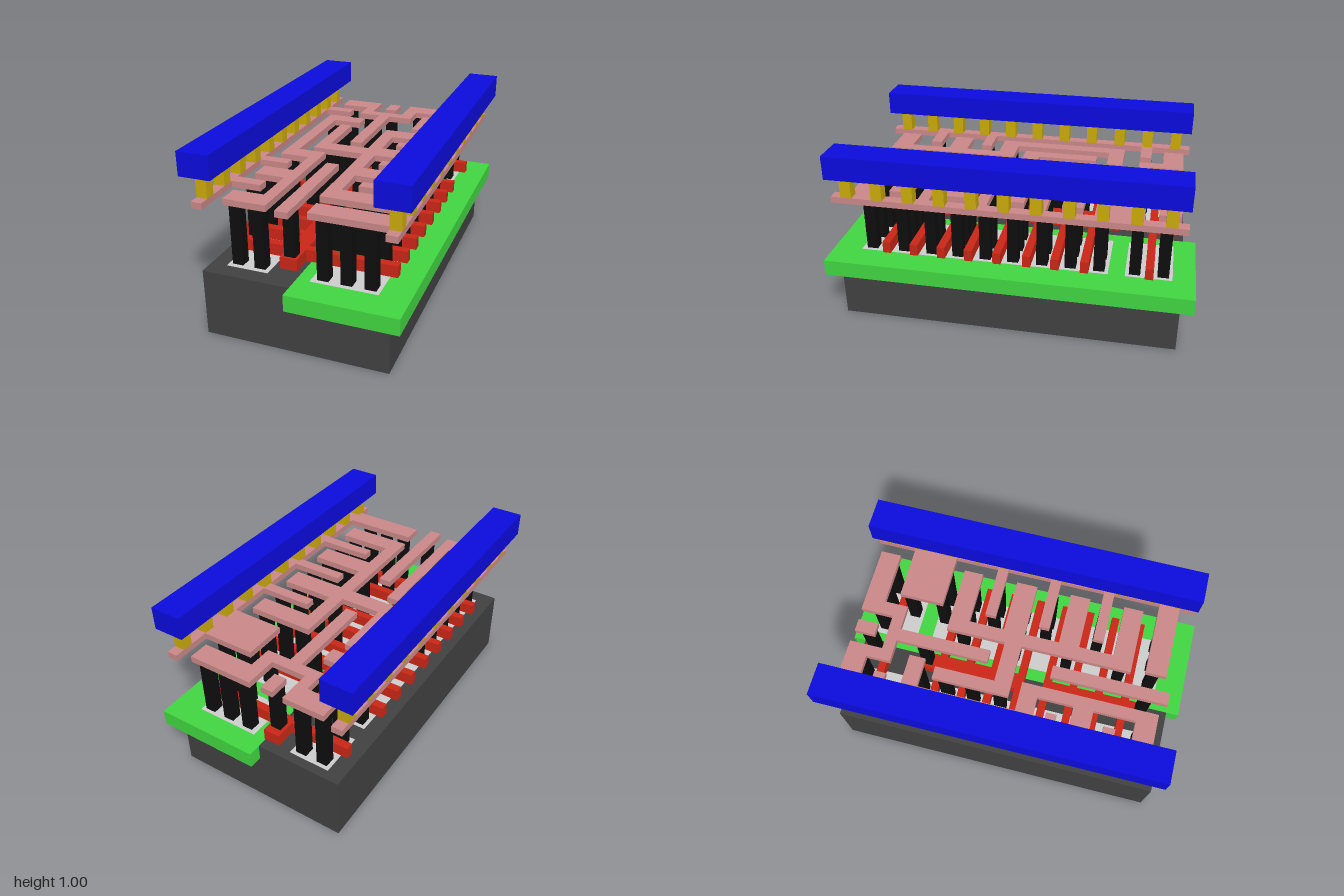
import * as THREE from 'three';

const mat = (color) => new THREE.MeshStandardMaterial({ color, flatShading: true });
const MAT = {
  base: mat(0x404040), well: mat(0x40d440), diffusion: mat(0xcccccc), gate: mat(0xc82616),
  contact: mat(0x0d0d0d), metal: mat(0xc88686), via: mat(0xc8a80c), rail: mat(0x0b0bdc),
};

// Height range of each layer
const GATE = [0.395, 0.46], METAL = [0.715, 0.75], VIA = [0.75, 0.875], RAIL = [0.875, 1.005];
const TOP = 0.37;

export function createModel() {
  const model = new THREE.Group();

  const layer = (name) => {
    const g = new THREE.Group();
    g.name = name;
    model.add(g);
    return g;
  };
  // Box given by its x, y and z ranges
  const slab = (parent, name, material, [x0, x1], [y0, y1], [z0, z1]) => {
    const m = new THREE.Mesh(new THREE.BoxGeometry(x1 - x0, y1 - y0, z1 - z0), material);
    m.position.set((x0 + x1) / 2, (y0 + y1) / 2, (z0 + z1) / 2);
    m.name = name;
    parent.add(m);
  };
  // Square post centred on x, z
  const post = (parent, name, material, x, z, [y0, y1]) =>
    slab(parent, name, material, [x - 0.03, x + 0.03], [y0, y1], [z - 0.03, z + 0.03]);

  // Substrate block and the well set into it
  slab(model, 'substrate', MAT.base, [-0.5, 0.5], [0, TOP], [-0.93, 0.93]);
  slab(model, 'well', MAT.well, [-0.02, 0.57], [0.28, TOP + 0.001], [-1, 1]);

  // Active areas, flush with the top
  const active = layer('activeAreas');
  for (const x of [[-0.41, -0.18], [0.05, 0.41]])
    for (const z of [[-0.88, -0.63], [-0.54, 0.84]])
      slab(active, 'activeArea', MAT.diffusion, x, [TOP - 0.05, TOP + 0.002], z);

  // Gate strips across the block, joined by spines along the middle
  const gates = layer('gates');
  for (const z of [-0.757, -0.418, -0.26, -0.107, 0.055, 0.213, 0.365, 0.518, 0.673])
    slab(gates, 'gateStrip', MAT.gate, [-0.46, 0.46], GATE, [z - 0.022, z + 0.022]);
  for (const z of [[-0.89, -0.735], [-0.56, 0.077], [0.19, 0.81]])
    slab(gates, 'gateSpine', MAT.gate, [-0.123, -0.03], GATE, z);

  // Contact posts: [x positions, z positions]
  const contacts = layer('contacts');
  const posts = [
    [[-0.36, -0.235], [-0.83, -0.49, 0.135, 0.44, 0.785]],
    [[-0.36], [-0.68, 0.285, 0.6]],
    [[-0.235], [-0.335, -0.18, -0.02]],
    [[0.11, 0.235, 0.36], [-0.83, -0.335, -0.02, 0.29, 0.6, 0.785]],
    [[0.235, 0.36], [-0.68, -0.49, -0.18, 0.135, 0.44]],
  ];
  for (const [xs, zs] of posts)
    for (const x of xs)
      for (const z of zs) post(contacts, 'contact', MAT.contact, x, z, [TOP, METAL[0]]);
  for (const z of [-0.82, -0.5, 0.765])
    post(contacts, 'gateContact', MAT.contact, -0.075, z, [GATE[1], METAL[0]]);

  // Metal wiring: x0, x1, z0, z1
  const wiring = layer('wiring');
  const wires = [
    // rear link between both sides
    [-0.405, -0.17, -0.895, -0.78], [-0.235, -0.17, -0.78, -0.71],
    [-0.235, 0.105, -0.71, -0.645], [0.03, 0.105, -0.78, -0.71],
    [0.03, 0.405, -0.895, -0.78], [-0.105, -0.035, -0.645, -0.125],
    // lone gate wires
    [-0.105, -0.035, -0.89, -0.775], [-0.105, -0.035, 0.23, 0.88],
    // right-hand loop
    [-0.405, -0.17, -0.55, -0.46], [-0.405, -0.335, -0.46, 0.09],
    [-0.405, -0.17, 0.09, 0.19], [-0.235, -0.17, 0.19, 0.73],
    [-0.405, -0.235, 0.39, 0.5], [-0.405, -0.17, 0.73, 0.845],
    // middle link
    [-0.27, -0.2, -0.395, -0.06], [-0.27, 0.03, -0.06, 0.035],
    // left-hand comb
    [0.03, 0.105, -0.395, 0.65],
    [0.105, 0.405, -0.395, -0.285], [0.105, 0.405, -0.085, 0.035],
    [0.105, 0.405, 0.23, 0.345], [0.105, 0.405, 0.54, 0.65],
    // fingers from the side strips
    [-0.47, -0.305, -0.71, -0.645], [-0.47, -0.305, 0.255, 0.315], [-0.47, -0.305, 0.57, 0.635],
    [0.17, 0.47, -0.71, -0.46], [0.17, 0.47, -0.21, -0.15], [0.17, 0.47, 0.1, 0.16],
    [0.17, 0.47, 0.41, 0.47], [0.05, 0.47, 0.73, 0.845],
  ];
  for (const [x0, x1, z0, z1] of wires)
    slab(wiring, 'wire', MAT.metal, [x0, x1], METAL, [z0, z1]);

  // Side strips, vias and top power bars, mirrored
  for (const s of [-1, 1]) {
    const side = layer(s < 0 ? 'rightPowerRail' : 'leftPowerRail');
    const range = (a, b) => (s < 0 ? [-b, -a] : [a, b]);
    slab(side, 'sideStrip', MAT.metal, range(0.47, 0.53), METAL, [-0.93, 0.93]);
    for (let i = -5; i <= 5; i++) post(side, 'via', MAT.via, s * 0.5, i * 0.169, VIA);
    slab(side, 'powerBar', MAT.rail, range(0.412, 0.587), RAIL, [-0.93, 0.93]);
  }

  return model;
}
